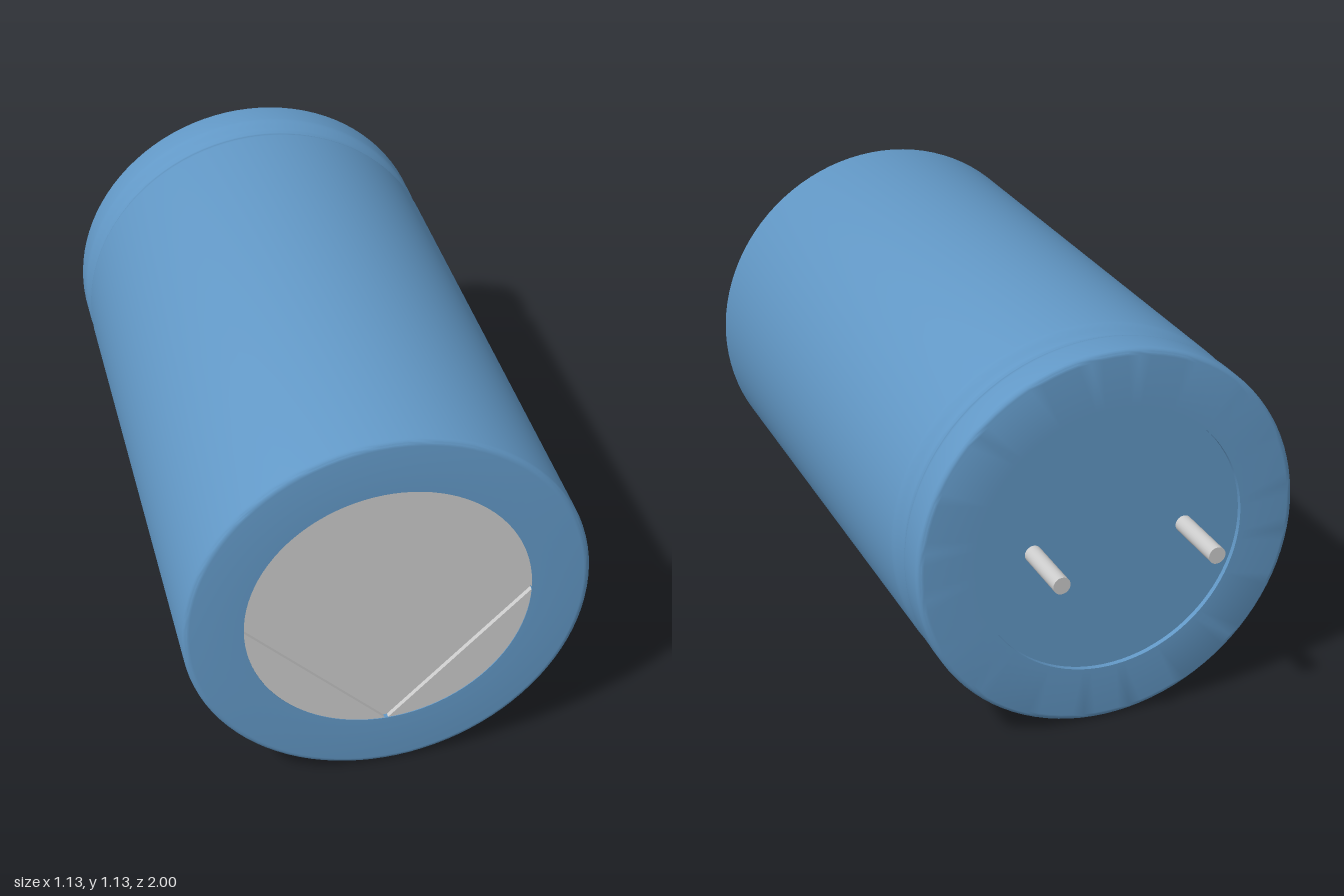
import * as THREE from 'three';
import { toCreasedNormals } from 'three/addons/utils/BufferGeometryUtils.js';

const R = 0.567, FRONT = 1, BACK = -0.815, INNER = 0.4, FILLET = 0.02;

export function createModel() {
  const model = new THREE.Group();
  const blue = new THREE.MeshStandardMaterial({ color: 0x6298c6 });
  const grey = new THREE.MeshStandardMaterial({ color: 0xcccccc });

  const add = (name, geometry, material, x = 0, z = 0) => {
    const mesh = new THREE.Mesh(geometry, material);
    mesh.name = name;
    mesh.position.set(x, R, z);
    model.add(mesh);
    return mesh;
  };

  // Sleeve profile from back centre to front rim, as (radius, z)
  const profile = [];
  const p = (r, z) => profile.push(new THREE.Vector2(r, z));
  const fillet = (z, from) => {
    for (let i = 0; i <= 5; i++) {
      const a = from + (i / 5) * Math.PI / 2;
      p(R - FILLET + Math.cos(a) * FILLET, z + Math.sin(a) * FILLET);
    }
  };
  p(0, BACK + 0.015);
  p(INNER, BACK + 0.015);
  p(INNER, BACK);
  fillet(BACK + FILLET, -Math.PI / 2);
  // crimp groove near the back
  for (let i = 0; i <= 14; i++) {
    const t = i / 14;
    p(R - 0.011 * (1 - Math.cos(t * Math.PI * 2)), -0.725 + 0.11 * t);
  }
  fillet(FRONT - FILLET, 0);
  p(INNER, FRONT);
  p(INNER, FRONT - 0.015);
  const sleeve = new THREE.LatheGeometry(profile, 96).rotateX(Math.PI / 2);
  add('sleeve', toCreasedNormals(sleeve, Math.PI / 6), blue);

  // Floor of the scored cross in the front vent
  add('ventFloor', new THREE.CircleGeometry(INNER, 96), grey, 0, FRONT - 0.015);

  // Four vent quarters separated by the cross
  const gap = 0.005;
  const a0 = Math.asin(gap / INNER);
  const sector = new THREE.Shape();
  sector.moveTo(gap, gap);
  sector.absarc(0, 0, INNER, a0, Math.PI / 2 - a0, false);
  sector.closePath();
  const quarter = new THREE.ExtrudeGeometry(sector, { depth: 0.013, bevelEnabled: false, curveSegments: 24 });
  for (let i = 0; i < 4; i++) {
    add('ventQuarter', quarter, grey, 0, FRONT - 0.015).rotation.z = i * Math.PI / 2;
  }

  // Two wire terminals, one slightly longer
  for (const [x, end] of [[-0.23, -1], [0.225, -0.99]]) {
    const start = BACK + 0.03;
    const pin = new THREE.CylinderGeometry(0.025, 0.025, start - end, 24).rotateX(Math.PI / 2);
    add('terminalPin', pin, grey, x, (start + end) / 2);
  }
  return model;
}
